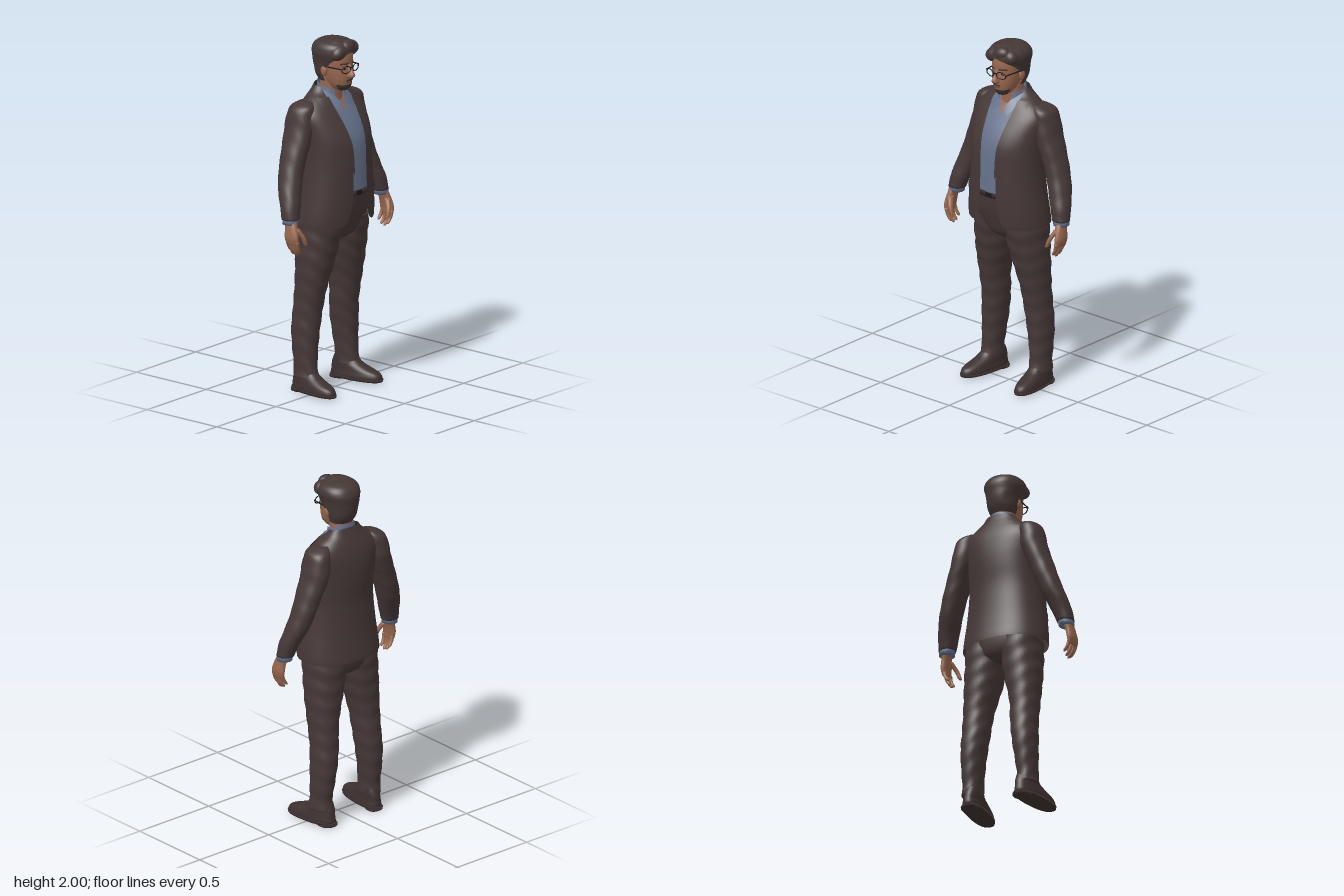
import * as THREE from 'three';
import { mergeVertices } from 'three/addons/utils/BufferGeometryUtils.js';

const paint = (name, color, side = THREE.FrontSide) => {
  const m = new THREE.MeshStandardMaterial({ color, side });
  m.name = name;
  return m;
};

// A row is [y, centreX, halfWidth, frontZ, backZ, halfOpening, tilt]
const fill = r => [0, 1, 2, 3, 4, 5, 6].map(i => r[i] ?? 0);

// Smooth interpolation between rows, sorted upward
function refine(rows, sub) {
  const R = rows.map(fill).sort((a, b) => a[0] - b[0]), out = [];
  for (let i = 0; i < R.length - 1; i++) {
    const p = R[Math.max(0, i - 1)], a = R[i], b = R[i + 1], q = R[Math.min(R.length - 1, i + 2)];
    for (let s = 0; s < sub; s++) {
      const t = s / sub;
      out.push(a.map((v, k) => v + 0.5 * t * (b[k] - p[k] + t * (2 * p[k] - 5 * v + 4 * b[k] - q[k] + t * (3 * (v - b[k]) + q[k] - p[k])))));
    }
  }
  out.push(R[R.length - 1]);
  return out;
}

function surface(pos, index) {
  let g = new THREE.BufferGeometry();
  g.setAttribute('position', new THREE.Float32BufferAttribute(pos, 3));
  g.setIndex(index);
  g = mergeVertices(g, 1e-4);
  g.computeVertexNormals();
  return g;
}

// Stack of horizontal superellipse rings, optionally open at the front
function loft(rows, { n = 2.2, seg = 36, sub = 5, ripple = 0, shear = 0 } = {}) {
  const R = refine(rows, sub), pos = [], idx = [], W = seg + 1;
  const pw = v => Math.sign(v) * Math.abs(v) ** (2 / n);
  for (const [y, cx, w0, zf, zb, open, tilt] of R) {
    const w = Math.max(w0, 1e-4), zc = (zf + zb) / 2, d = (zf - zb) / 2;
    const start = Math.asin(Math.min(0.999, Math.max(0, open) / w) ** (n / 2));
    for (let j = 0; j <= seg; j++) {
      const a = start + (2 * Math.PI - 2 * start) * j / seg;
      const k = 1 + ripple * Math.sin(62 * y + 2 * Math.sin(a) + 1.5 * Math.cos(2 * a));
      const z = d * pw(Math.cos(a)) * k;
      pos.push(cx + w * pw(Math.sin(a)) * k + shear * (zc + z), y - tilt * z, zc + z);
    }
  }
  for (let i = 0; i < R.length - 1; i++) for (let j = 0; j < seg; j++) {
    const a = i * W + j, c = a + W;
    idx.push(a, a + 1, c, a + 1, c + 1, c);
  }
  // Close the ends of rings that have no opening
  [0, R.length - 1].forEach((i, end) => {
    const [y, cx, , zf, zb, open] = R[i], c = pos.length / 3, zc = (zf + zb) / 2;
    if (open > 0) return;
    pos.push(cx + shear * zc, y, zc);
    for (let j = 0; j < seg; j++) {
      const a = i * W + j;
      idx.push(...(end ? [c, a, a + 1] : [c, a + 1, a]));
    }
  });
  return surface(pos, idx);
}

// Thin plate following the front of a loft; edges(y, row) gives its x limits
function patch(rows, side, y0, y1, edges, off, n = 2.2) {
  const R = refine(rows, 6), pos = [], idx = [], NY = 24, NX = 10;
  for (let i = 0; i <= NY; i++) {
    const y = y0 + (y1 - y0) * i / NY;
    const k = Math.max(0, R.findIndex((r, m) => m === R.length - 2 || R[m + 1][0] >= y));
    const t = (y - R[k][0]) / (R[k + 1][0] - R[k][0]);
    const r = R[k].map((v, m) => v + (R[k + 1][m] - v) * t);
    const [xa, xb] = edges(y, r), zc = (r[3] + r[4]) / 2;
    for (let j = 0; j <= NX; j++) {
      const x = xa + (xb - xa) * j / NX;
      const f = Math.max(0, 1 - Math.min(1, Math.abs(x) / r[2]) ** n) ** (1 / n);
      pos.push(side * x, y, zc + (r[3] - zc) * f + off);
    }
  }
  for (let i = 0; i < NY; i++) for (let j = 0; j < NX; j++) {
    const a = i * (NX + 1) + j, c = a + NX + 1;
    idx.push(...(side > 0 ? [a, a + 1, c, a + 1, c + 1, c] : [a, c, a + 1, a + 1, c, c + 1]));
  }
  return surface(pos, idx);
}

const JACKET = [[0.965, 0, 0.245, 0.175, -0.185, 0.13], [0.99, 0, 0.245, 0.178, -0.183, 0.092],
  [1.05, 0, 0.24, 0.182, -0.175, 0.07], [1.15, 0, 0.228, 0.185, -0.165, 0.058], [1.3, 0, 0.215, 0.182, -0.158, 0.055],
  [1.42, 0, 0.215, 0.174, -0.168, 0.06], [1.5, 0, 0.222, 0.147, -0.17, 0.07], [1.58, 0, 0.23, 0.1, -0.163, 0.08],
  [1.63, 0, 0.21, 0.065, -0.15, 0.086], [1.67, 0, 0.16, 0.04, -0.135, 0.087], [1.7, 0, 0.115, 0.015, -0.12, 0.085, 0.1],
  [1.73, 0, 0.09, 0, -0.108, 0.08, 0.2]];
const inset = (d, open) => JACKET.filter(r => r[0] >= 1.14 && r[0] < 1.72)
  .map(([y, x, w, f, b]) => [y, x, w - d, f - d, b + d, open(y)]);
const SHIRT = inset(0.014, y => Math.max(0.002, (y - 1.59) * 0.5));
const HEAD = [[1.712, 0, 0.03, 0.08, 0], [1.735, 0, 0.05, 0.098, -0.03], [1.77, 0, 0.066, 0.106, -0.06],
  [1.81, 0, 0.075, 0.108, -0.08], [1.85, 0, 0.08, 0.104, -0.09], [1.9, 0, 0.083, 0.105, -0.1],
  [1.95, 0, 0.078, 0.09, -0.1], [1.98, 0, 0.04, 0.04, -0.05]];

export function createModel() {
  const model = new THREE.Group();
  const D = THREE.DoubleSide;
  const suit = paint('suit brown', 0x453837, D), shirt = paint('shirt blue', 0x66728c, D);
  const skin = paint('skin', 0x97674f), hair = paint('hair brown', 0x443836, D);
  const shoe = paint('shoe brown', 0x3d3130), black = paint('frame black', 0x1d1918, D), lip = paint('lip', 0x7c4d40, D);
  const add = (name, geo, mat, at = [0, 0, 0], scale = [1, 1, 1]) => {
    const m = new THREE.Mesh(geo, mat);
    m.name = name;
    m.position.set(...at);
    m.scale.set(...scale);
    model.add(m);
    return m;
  };
  const ball = new THREE.SphereGeometry(1, 24, 16);

  // Torso clothing
  add('jacket', loft(JACKET, { seg: 64 }), suit);
  add('shirt', loft(SHIRT, { seg: 56 }), shirt);
  add('chest', loft(inset(0.024, () => 0).filter(r => r[0] > 1.45)), skin);
  add('shirtPlacket', patch(SHIRT, 1, 1.16, 1.6, () => [-0.013, 0.013], 0.004), shirt);
  add('shirtCollar', loft([[1.68, 0, 0.082, 0.045, -0.1, 0.045, 0.35], [1.715, 0, 0.076, 0.042, -0.1, 0.04, 0.35],
    [1.735, 0, 0.073, 0.04, -0.098, 0.04, 0.35]], { sub: 3 }), shirt);
  add('hips', loft([[0.86, 0, 0.08, 0.05, -0.1], [0.9, 0, 0.17, 0.1, -0.14], [0.97, 0, 0.218, 0.128, -0.155],
    [1.05, 0, 0.212, 0.152, -0.152], [1.16, 0, 0.19, 0.166, -0.14]]), suit);
  add('belt', loft([[1.128, 0, 0.196, 0.172, -0.145], [1.16, 0, 0.195, 0.174, -0.145]], { sub: 1 }), shoe);
  add('buckle', new THREE.BoxGeometry(0.04, 0.026, 0.006), black, [0, 1.144, 0.174]);

  // Head
  add('neck', loft([[1.6, 0, 0.075, 0.04, -0.09], [1.66, 0, 0.064, 0.03, -0.085], [1.78, 0, 0.062, 0.035, -0.085]]), skin);
  add('head', loft(HEAD), skin);
  add('nose', loft([[1.784, 0, 0.012, 0.118, 0.07], [1.795, 0, 0.02, 0.138, 0.07], [1.81, 0, 0.018, 0.141, 0.07],
    [1.835, 0, 0.011, 0.126, 0.07], [1.865, 0, 0.009, 0.108, 0.07]], { seg: 20, sub: 3 }), skin);
  add('beard', patch(HEAD, 1, 1.712, 1.748, (y, r) => [-r[2] * 0.97, r[2] * 0.97], 0.004), hair);
  add('moustache', patch(HEAD, 1, 1.771, 1.78, () => [-0.027, 0.027], 0.005), hair);
  add('mouth', patch(HEAD, 1, 1.757, 1.768, () => [-0.022, 0.022], 0.003), lip);
  add('hair', loft([[1.76, 0, 0.068, 0.03, -0.09, 0.066], [1.8, 0, 0.084, 0.05, -0.112, 0.083], [1.85, 0, 0.093, 0.09, -0.125, 0.09],
    [1.89, 0, 0.102, 0.106, -0.13, 0.084], [1.915, 0, 0.109, 0.112, -0.132, 0.055], [1.935, 0, 0.111, 0.113, -0.13],
    [1.96, 0, 0.105, 0.108, -0.12], [1.98, 0, 0.086, 0.088, -0.1], [1.993, 0, 0.05, 0.05, -0.065]], { seg: 48, ripple: 0.008 }), hair);
  // Swept locks over the forehead
  [[-0.05, 1.935, 0.07, 0.055, 0.04, 0.042, 0.5], [0.01, 1.955, 0.078, 0.055, 0.04, 0.038, 0.25],
    [0.065, 1.94, 0.06, 0.043, 0.04, 0.042, -0.6], [-0.02, 1.97, 0.02, 0.065, 0.03, 0.065, 0.1]]
    .forEach(([x, y, z, a, b, c, turn]) => { add('hairLock', ball, hair, [x, y, z], [a, b, c]).rotation.z = turn; });
  add('glassesBridge', new THREE.BoxGeometry(0.018, 0.005, 0.006), black, [0, 1.849, 0.122]);

  for (const s of [1, -1]) {
    const side = s > 0 ? 'left' : 'right';
    const limb = (name, rows, mat, opt) => add(side + name, loft(rows.map(([y, x, w, f, b]) => [y, s * x, w, f, b]), opt), mat);

    // Lapel, pocket flap and shirt collar wing
    add(side + 'Lapel', patch(JACKET, s, 1.26, 1.68,
      (y, r) => [r[5] - 0.003, r[5] + 0.09 * Math.sin(Math.PI * 0.8 * (y - 1.26) / 0.42)], 0.008), suit);
    add(side + 'PocketFlap', patch(JACKET, s, 1.135, 1.185, () => [0.125, 0.205], 0.007), suit);
    add(side + 'CollarWing', surface([s * 0.082, 1.712, -0.02, s * 0.05, 1.682, 0.045, s * 0.018, 1.635, 0.075,
      s * 0.058, 1.6, 0.092, s * 0.09, 1.655, 0.045], [0, 1, 4, 1, 3, 4, 1, 2, 3]), shirt);

    // Face details
    add(side + 'Ear', ball, skin, [s * 0.083, 1.825, -0.008], [0.014, 0.032, 0.021]);
    add(side + 'Eye', ball, black, [s * 0.034, 1.843, 0.097], [0.011, 0.006, 0.005]);
    add(side + 'Eyebrow', patch(HEAD, s, 1.866, 1.875, () => [0.014, 0.058], 0.005), hair);
    add(side + 'GlassesRim', new THREE.TorusGeometry(0.029, 0.0032, 8, 28), black, [s * 0.039, 1.841, 0.115], [1.05, 0.68, 1])
      .rotation.y = s * 0.2;
    add(side + 'GlassesTemple', new THREE.BoxGeometry(0.004, 0.006, 0.125), black, [s * 0.08, 1.849, 0.047]).rotation.y = s * -0.1;

    // Arm and hand
    limb('Sleeve', [[1.662, 0.17, 0.03, -0.02, -0.1], [1.635, 0.197, 0.056, 0.008, -0.135], [1.58, 0.21, 0.064, 0.015, -0.152],
      [1.5, 0.224, 0.068, 0.02, -0.156], [1.4, 0.262, 0.065, 0.014, -0.143], [1.3, 0.298, 0.063, 0.012, -0.13],
      [1.2, 0.333, 0.061, 0.025, -0.105], [1.12, 0.36, 0.056, 0.042, -0.07], [1.045, 0.378, 0.047, 0.05, -0.046]], suit, { ripple: 0.014 });
    limb('Cuff', [[1.02, 0.382, 0.042, 0.049, -0.04], [1.06, 0.376, 0.042, 0.047, -0.042]], shirt, { sub: 2 });
    limb('Palm', [[0.91, 0.4, 0.014, 0.078, -0.008], [0.95, 0.403, 0.02, 0.078, -0.016], [1.0, 0.395, 0.023, 0.063, -0.017],
      [1.05, 0.383, 0.028, 0.04, -0.028]], skin, { seg: 24 });
    [0.068, 0.046, 0.024, 0.003].forEach((z, i) => {
      const tip = [0.855, 0.842, 0.848, 0.868][i];
      limb('Finger', [[tip, 0.372, 0.004, z - 0.002, z - 0.01], [tip + 0.008, 0.376, 0.009, z + 0.004, z - 0.015],
        [tip + 0.035, 0.392, 0.0105, z + 0.008, z - 0.013], [0.93, 0.401, 0.012, z + 0.012, z - 0.012]], skin, { seg: 14, sub: 3 });
    });
    limb('Thumb', [[0.9, 0.344, 0.004, 0.09, 0.082], [0.908, 0.347, 0.01, 0.094, 0.074], [0.95, 0.362, 0.013, 0.092, 0.064],
      [1.0, 0.385, 0.015, 0.068, 0.03]], skin, { seg: 14, sub: 3 });

    // Leg and shoe
    limb('TrouserLeg', [[0.98, 0.108, 0.112, 0.12, -0.15], [0.88, 0.115, 0.11, 0.105, -0.147], [0.75, 0.13, 0.099, 0.08, -0.143],
      [0.6, 0.147, 0.08, 0.045, -0.14], [0.47, 0.153, 0.074, 0.02, -0.148], [0.36, 0.163, 0.068, 0.012, -0.155],
      [0.25, 0.17, 0.06, 0.006, -0.145], [0.15, 0.174, 0.053, 0.008, -0.132], [0.09, 0.176, 0.055, 0.018, -0.135]],
    suit, { ripple: 0.022, sub: 8 });
    const foot = { n: 2.4, shear: s * 0.11 };
    limb('Shoe', [[0.012, 0.18, 0.055, 0.158, -0.152], [0.03, 0.18, 0.058, 0.162, -0.155], [0.055, 0.18, 0.054, 0.145, -0.152],
      [0.08, 0.178, 0.05, 0.08, -0.148], [0.1, 0.177, 0.047, 0.035, -0.142], [0.13, 0.176, 0.043, 0.0, -0.13]], shoe, foot);
    limb('Sole', [[0.008, 0.18, 0.058, 0.165, -0.158], [0.022, 0.18, 0.061, 0.168, -0.16]], shoe, { ...foot, sub: 1 });
    limb('Heel', [[0, 0.18, 0.048, -0.06, -0.158], [0.012, 0.18, 0.05, -0.055, -0.16]], shoe, { ...foot, sub: 1 });
  }
  return model;
}
